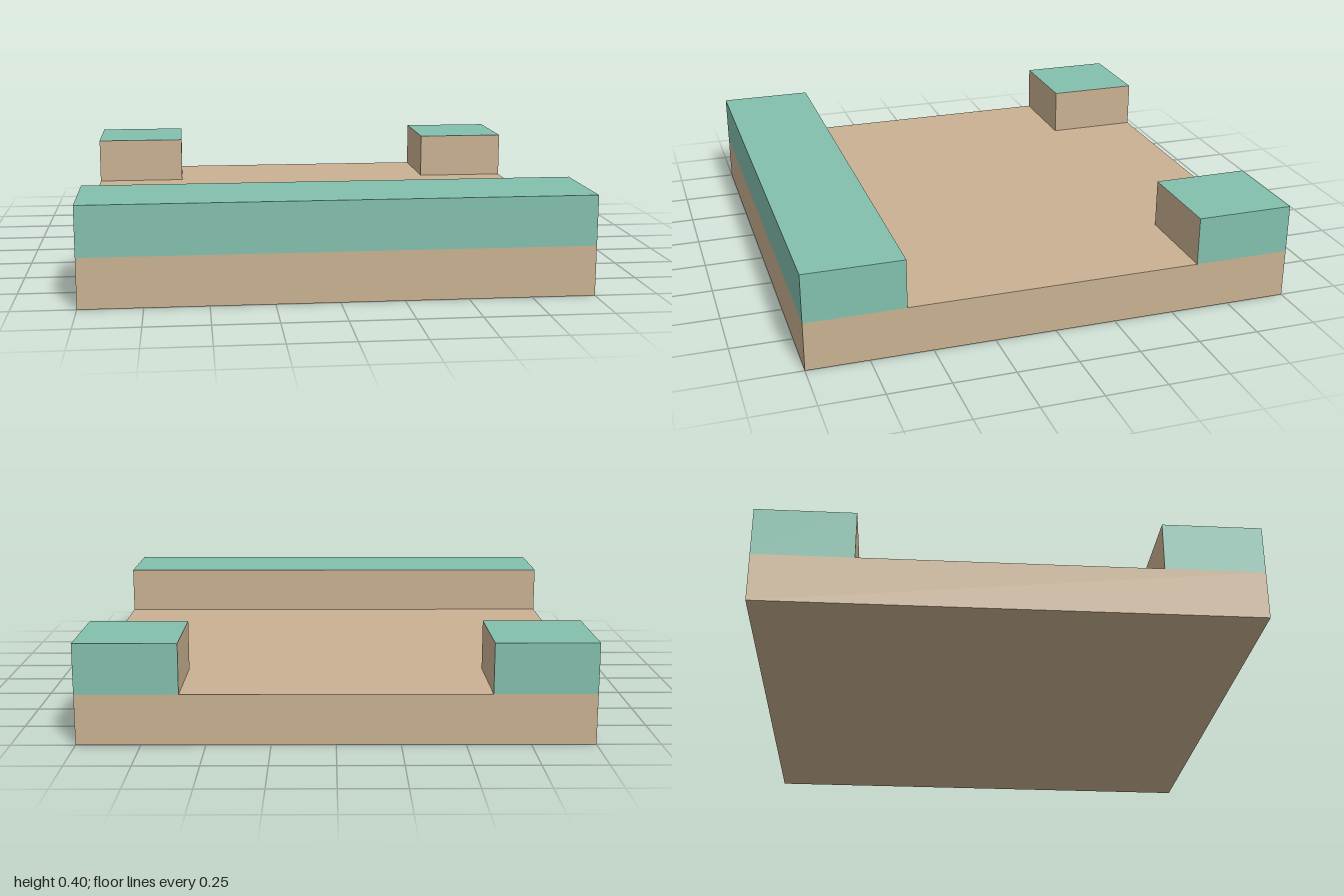
import * as THREE from 'three';

export function createModel() {
  const tan = new THREE.MeshStandardMaterial({ color: 0xc9b191 });
  tan.name = 'tan';
  const green = new THREE.MeshStandardMaterial({ color: 0x82c0ad });
  green.name = 'seaGreen';

  const model = new THREE.Group();
  model.name = 'floorTile';

  // Box from its size and centre; materials run +x, -x, +y, -y, +z, -z
  function addBox(name, [w, h, d], [x, y, z], material) {
    const mesh = new THREE.Mesh(new THREE.BoxGeometry(w, h, d), material);
    mesh.name = name;
    mesh.position.set(x, y, z);
    model.add(mesh);
  }

  // Square floor slab
  addBox('floorSlab', [2, 0.2, 2], [0, 0.1, 0], tan);

  // Raised edge along the front: green outside and on top, tan inside
  addBox('frontCurb', [2, 0.2, 0.4], [0, 0.3, 0.8],
    [green, green, green, tan, green, tan]);

  // Two back corner blocks, with tan faces towards the middle
  for (const side of [1, -1]) {
    addBox(side > 0 ? 'backLeftCorner' : 'backRightCorner',
      [0.4, 0.2, 0.4], [side * 0.8, 0.3, -0.8],
      [side > 0 ? green : tan, side > 0 ? tan : green, green, tan, tan, green]);
  }

  return model;
}
